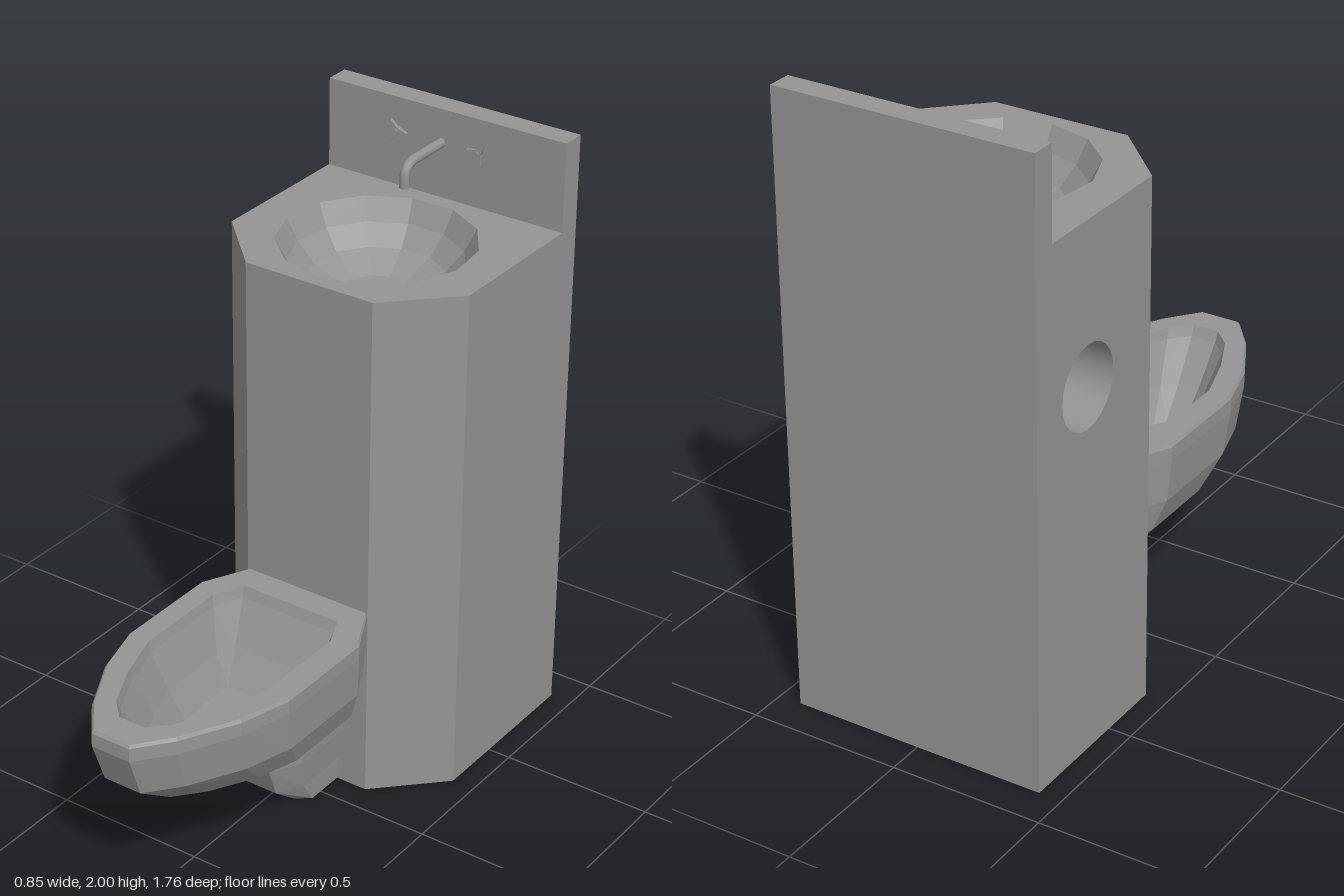
import * as THREE from 'three';

const steel = new THREE.MeshStandardMaterial({ color: 0x949494, side: THREE.DoubleSide });
steel.name = 'brushed steel grey';

// Faceted copy of a geometry
function flat(geometry) {
  const g = geometry.index ? geometry.toNonIndexed() : geometry;
  g.computeVertexNormals();
  return g;
}

function add(parent, name, geometry, x = 0, y = 0, z = 0) {
  const mesh = new THREE.Mesh(geometry, steel);
  mesh.name = name;
  mesh.position.set(x, y, z);
  parent.add(mesh);
  return mesh;
}

// Closed ring at height y from a right-hand half outline of [x, z], back to front
function ring(half, y) {
  const right = half.map(([x, z]) => [x, y, z]);
  const left = half.map(([x, z]) => [-x, y, z]).reverse();
  return [...right, ...left];
}

// Faceted skin through rings of equal length, capped at both ends
function loft(rings) {
  const n = rings[0].length;
  const pos = [];
  const tri = (a, b, c) => pos.push(...a, ...b, ...c);
  for (let k = 0; k < rings.length - 1; k++) {
    for (let i = 0; i < n; i++) {
      const j = (i + 1) % n;
      const a = rings[k][i], b = rings[k][j], c = rings[k + 1][j], d = rings[k + 1][i];
      tri(a, c, b);
      tri(a, d, c);
    }
  }
  const first = rings[0], last = rings[rings.length - 1];
  for (let i = 1; i < n - 1; i++) {
    tri(first[0], first[i], first[i + 1]);
    tri(last[0], last[i + 1], last[i]);
  }
  const g = new THREE.BufferGeometry();
  g.setAttribute('position', new THREE.Float32BufferAttribute(pos, 3));
  g.computeVertexNormals();
  return g;
}

function buildColumn() {
  const column = new THREE.Group();
  column.name = 'column';
  const H = 1.71, W = 0.425, BACK = -0.8;
  const plan = [[-W, -0.29], [-0.225, -0.09], [0.225, -0.09], [W, -0.29], [W, BACK]];

  // Front, chamfered and plain side walls
  for (let i = 0; i < plan.length - 1; i++) {
    const [x1, z1] = plan[i], [x2, z2] = plan[i + 1];
    const wall = add(column, 'columnWall',
      new THREE.PlaneGeometry(Math.hypot(x2 - x1, z2 - z1), H),
      (x1 + x2) / 2, H / 2, (z1 + z2) / 2);
    wall.rotation.y = Math.atan2(z1 - z2, x2 - x1);
  }

  // Side wall with a round recess
  const R = 0.132, py = 1.2, pz = -0.62, depth = 0.2;
  const side = new THREE.Shape([[BACK, 0], [-0.29, 0], [-0.29, H], [BACK, H]]
    .map(([z, y]) => new THREE.Vector2(z, y)));
  side.holes.push(new THREE.Path().absarc(pz, py, R, 0, Math.PI * 2, true));
  add(column, 'recessedWall', new THREE.ShapeGeometry(side, 12).rotateY(-Math.PI / 2), -W);
  add(column, 'rollRecess',
    new THREE.CylinderGeometry(R, R, depth, 24, 1, true).rotateZ(Math.PI / 2),
    -W + depth / 2, py, pz);
  add(column, 'rollRecessBack', new THREE.CircleGeometry(R, 24).rotateY(-Math.PI / 2),
    -W + depth, py, pz);

  // Base and worktop, the latter cut out for the basin
  const outline = [...plan, [-W, BACK]].map(([x, z]) => new THREE.Vector2(x, -z));
  add(column, 'columnBase', new THREE.ShapeGeometry(new THREE.Shape(outline)).rotateX(Math.PI / 2).scale(1, 1, -1));
  const N = 13, rimR = 0.308, bz = -0.445;
  const top = new THREE.Shape(outline);
  const rim = [];
  for (let i = 0; i < N; i++) {
    const a = (i / N) * Math.PI * 2;
    rim.push(new THREE.Vector2(Math.sin(a) * rimR, -bz - Math.cos(a) * rimR));
  }
  top.holes.push(new THREE.Path(rim));
  add(column, 'worktop', new THREE.ShapeGeometry(top).rotateX(-Math.PI / 2), 0, H);

  // Faceted wash basin
  const profile = [[0, -0.19], [0.12, -0.18], [0.215, -0.13], [0.27, -0.07], [rimR, 0]]
    .map(([r, y]) => new THREE.Vector2(r, y));
  add(column, 'basin', flat(new THREE.LatheGeometry(profile, N)), 0, H, bz);

  // Full-height back panel
  add(column, 'backPanel', new THREE.BoxGeometry(W * 2, 2, 0.08), 0, 1, -0.84);
  return column;
}

function buildTaps() {
  const taps = new THREE.Group();
  taps.name = 'taps';

  // Spout bending down over the basin
  const path = new THREE.CurvePath();
  const v = (y, z) => new THREE.Vector3(-0.012, y, z);
  path.add(new THREE.LineCurve3(v(1.89, -0.8), v(1.89, -0.655)));
  path.add(new THREE.QuadraticBezierCurve3(v(1.89, -0.655), v(1.89, -0.603), v(1.845, -0.603)));
  path.add(new THREE.LineCurve3(v(1.845, -0.603), v(1.815, -0.603)));
  add(taps, 'spout', new THREE.TubeGeometry(path, 24, 0.016, 8));
  add(taps, 'spoutEnd', new THREE.CircleGeometry(0.016, 8).rotateX(Math.PI / 2), -0.012, 1.815, -0.603);

  // Three-pointed handles on short stems
  for (const [x, turn] of [[-0.162, 0], [0.13, Math.PI * 0.95]]) {
    const star = new THREE.Shape();
    for (let i = 0; i < 6; i++) {
      const a = turn + (i * Math.PI) / 3;
      const r = i % 2 ? 0.013 : 0.04;
      star[i ? 'lineTo' : 'moveTo'](Math.cos(a) * r, Math.sin(a) * r);
    }
    add(taps, 'tapHandle',
      new THREE.ExtrudeGeometry(star, { depth: 0.01, bevelEnabled: false }), x, 1.898, -0.785);
    add(taps, 'tapStem',
      new THREE.CylinderGeometry(0.009, 0.009, 0.03, 8).rotateX(Math.PI / 2), x, 1.898, -0.785);
  }
  return taps;
}

function buildToilet() {
  const toilet = new THREE.Group();
  toilet.name = 'toilet';
  const BACK = -0.09;
  const outer = [[0.222, BACK], [0.298, 0.06], [0.298, 0.42], [0.25, 0.59], [0.155, 0.77], [0.068, 0.88]];
  const opening = [[0.175, 0], [0.22, 0.1], [0.22, 0.42], [0.17, 0.58], [0.105, 0.72], [0.045, 0.78]];
  const floor = [[0.12, 0.16], [0.122, 0.2], [0.118, 0.38], [0.09, 0.47], [0.055, 0.55], [0.03, 0.585]];

  // Outer outline squeezed to a half width and a front position
  const squeeze = (w, front) => outer.map(([x, z]) =>
    [x * w / 0.298, BACK + (z - BACK) * (front - BACK) / (0.88 - BACK)]);
  const blend = (t) => opening.map(([x, z], i) =>
    [x + (floor[i][0] - x) * t, z + (floor[i][1] - z) * t]);

  // Bowl: up the outside, over the rim, down the inside
  add(toilet, 'bowl', loft([
    ring(squeeze(0.145, 0.37), 0.25),
    ring(squeeze(0.25, 0.68), 0.355),
    ring(squeeze(0.288, 0.83), 0.46),
    ring(squeeze(0.298, 0.88), 0.6),
    ring(squeeze(0.298, 0.88), 0.645),
    ring(squeeze(0.292, 0.872), 0.655),
    ring(opening, 0.655),
    ring(blend(0.08), 0.62),
    ring(blend(0.55), 0.49),
    ring(floor, 0.39),
  ]));

  // Pedestal foot
  const foot = (w, front) => [[w, BACK], [w, front * 0.55], [w * 0.62, front]];
  add(toilet, 'pedestal', loft([
    ring(foot(0.118, 0.08), 0),
    ring(foot(0.123, 0.18), 0.08),
    ring(foot(0.138, 0.23), 0.19),
    ring(foot(0.142, 0.235), 0.26),
  ]));
  return toilet;
}

export function createModel() {
  const model = new THREE.Group();
  model.name = 'toiletAndBasinUnit';
  model.add(buildColumn(), buildTaps(), buildToilet());
  return model;
}
